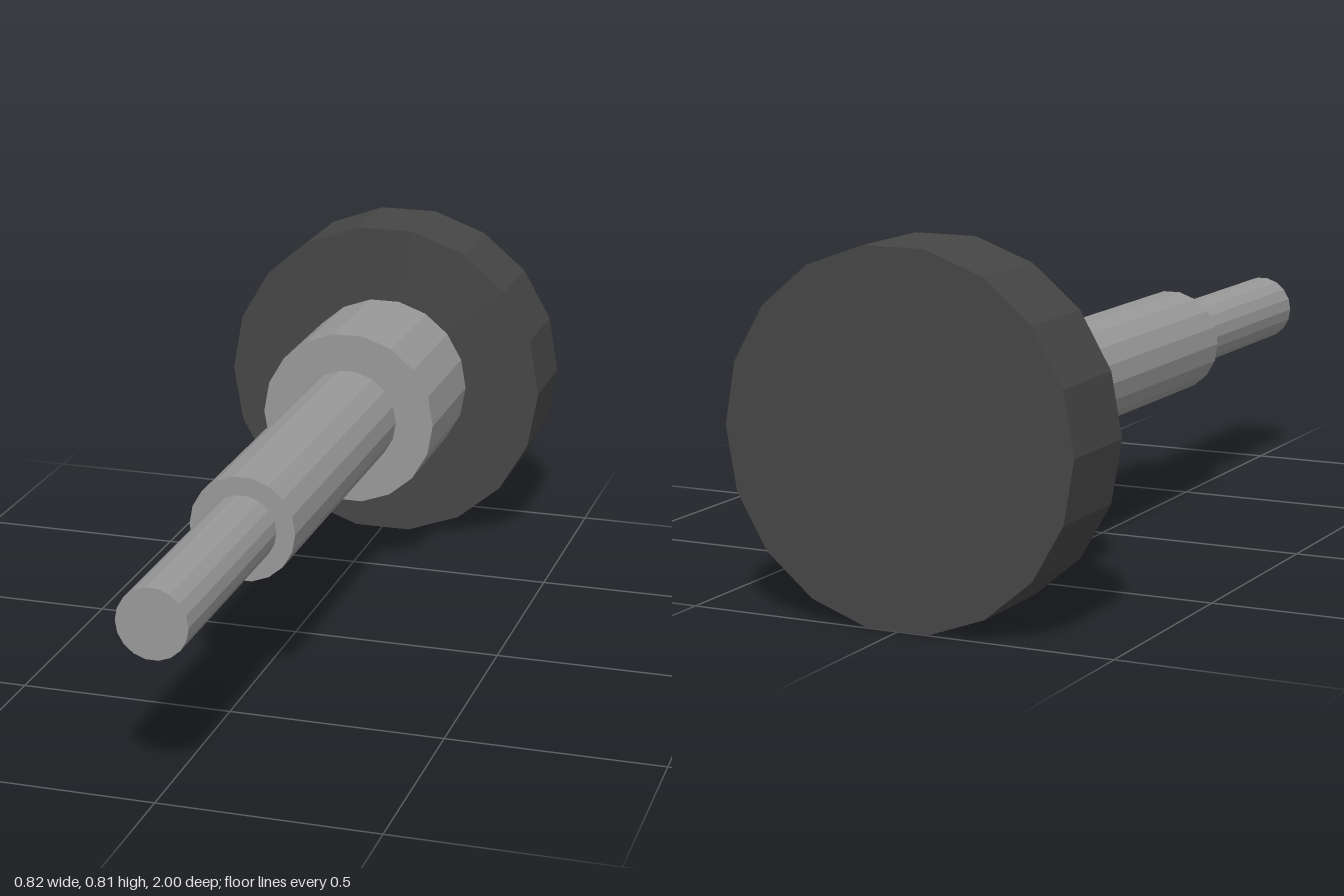
import * as THREE from 'three';

const SIDES = 18;
const AXIS_Y = 0.406;

export function createModel() {
  const group = new THREE.Group();
  const steel = new THREE.MeshStandardMaterial({ color: 0x999999, flatShading: true });
  steel.name = 'steel grey';
  const rubber = new THREE.MeshStandardMaterial({ color: 0x464646, flatShading: true });
  rubber.name = 'dark grey';

  // Faceted cylinder along z, with corners on the horizontal axis
  function section(name, radius, zBack, zFront, material) {
    const geometry = new THREE.CylinderGeometry(radius, radius, zFront - zBack, SIDES, 1, false, Math.PI / 2);
    geometry.rotateX(Math.PI / 2);
    const mesh = new THREE.Mesh(geometry, material);
    mesh.name = name;
    mesh.position.set(0, AXIS_Y, (zBack + zFront) / 2);
    group.add(mesh);
  }

  // Stepped pin, from the knob at the back to the thin tip at the front
  section('knob', 0.412, -1, -0.773, rubber);
  section('collar', 0.22, -0.773, -0.439, steel);
  section('shaft', 0.125, -0.439, 0.405, steel);
  section('tip', 0.081, 0.405, 1, steel);

  return group;
}
